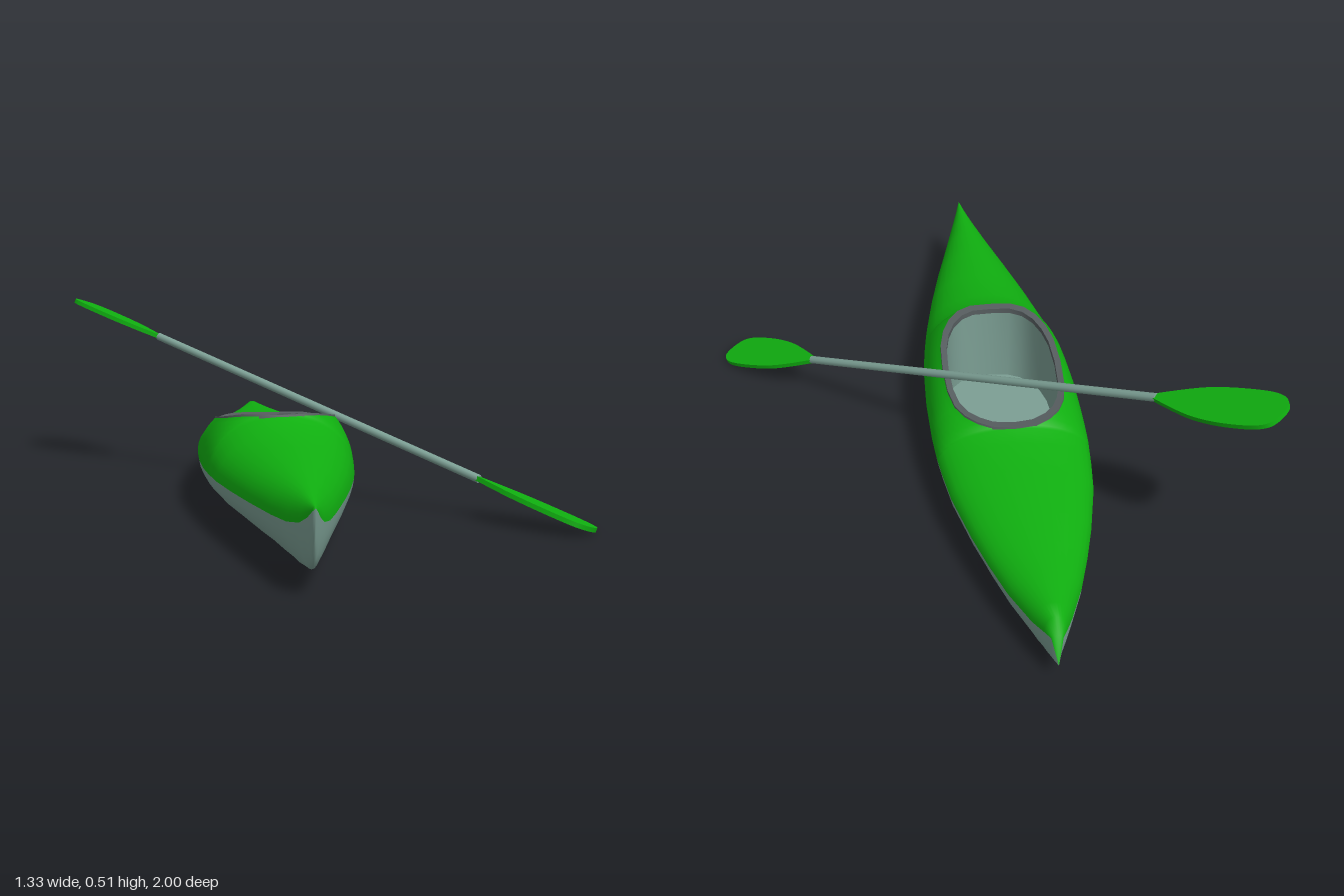
import * as THREE from 'three';
import { mergeVertices, toCreasedNormals } from 'three/addons/utils/BufferGeometryUtils.js';

const mat = (name, color) => new THREE.MeshStandardMaterial({ name, color });

// Stations from stern to bow: z, half width, keel y, seam y, deck ridge y
const STATIONS = [
  [-1, 0, 0.05, 0.05, 0.05],
  [-0.97, 0.014, 0.033, 0.105, 0.11],
  [-0.945, 0.027, 0.025, 0.103, 0.145],
  [-0.9, 0.046, 0.017, 0.093, 0.147],
  [-0.8, 0.086, 0.01, 0.09, 0.151],
  [-0.7, 0.118, 0.009, 0.093, 0.157],
  [-0.6, 0.146, 0.008, 0.097, 0.165],
  [-0.45, 0.18, 0.007, 0.103, 0.177],
  [-0.35, 0.193, 0.006, 0.106, 0.187],
  [-0.28, 0.2, 0.006, 0.108, 0.204],
  [-0.2, 0.204, 0.006, 0.11, 0.204],
  [-0.05, 0.205, 0.008, 0.114, 0.228],
  [0.1, 0.198, 0.011, 0.117, 0.25],
  [0.2, 0.188, 0.014, 0.12, 0.27],
  [0.25, 0.181, 0.016, 0.121, 0.258],
  [0.31, 0.172, 0.018, 0.122, 0.242],
  [0.45, 0.145, 0.025, 0.126, 0.231],
  [0.6, 0.111, 0.031, 0.13, 0.222],
  [0.75, 0.073, 0.037, 0.134, 0.213],
  [0.85, 0.047, 0.042, 0.14, 0.208],
  [0.92, 0.027, 0.052, 0.153, 0.204],
  [0.96, 0.014, 0.078, 0.172, 0.202],
  [0.985, 0.006, 0.13, 0.19, 0.201],
  [1, 0, 0.2, 0.2, 0.2],
];

function station(z) {
  let i = 0;
  while (i < STATIONS.length - 2 && STATIONS[i + 1][0] < z) i++;
  const a = STATIONS[i], b = STATIONS[i + 1];
  const f = (z - a[0]) / (b[0] - a[0]);
  const [w, keel, seam, top] = [1, 2, 3, 4].map(k => a[k] + (b[k] - a[k]) * f);
  return { w, keel, seam, top };
}

// Cockpit outline, a rounded oval
const CZ = -0.045, CW = 0.16, CL = 0.255, POW = 2 / 2.6, SIDES = 24;
const bend = v => Math.sign(v) * Math.abs(v) ** POW;
function outline(k) {
  const a = (k % SIDES) / SIDES * Math.PI * 2;
  const s = Math.abs(Math.sin(a)) < 1e-9 ? 0 : Math.sin(a);
  const c = Math.abs(Math.cos(a)) < 1e-9 ? 0 : Math.cos(a);
  return [CW * bend(s), CL * bend(c)];
}

// Surface through rows of points; one column can be left open
function loft(rows, skip = -1) {
  const n = rows[0].length, index = [];
  for (let i = 0; i < rows.length - 1; i++) {
    for (let j = 0; j < n - 1; j++) {
      if (j === skip) continue;
      const a = i * n + j, c = a + n;
      index.push(a, a + 1, c, a + 1, c + 1, c);
    }
  }
  let g = new THREE.BufferGeometry();
  g.setAttribute('position', new THREE.Float32BufferAttribute(rows.flat(2), 3));
  g.setIndex(index);
  g = mergeVertices(g, 1e-5);
  g.computeVertexNormals();
  return g;
}

function add(parent, name, geometry, material) {
  const mesh = new THREE.Mesh(geometry, material);
  mesh.name = name;
  parent.add(mesh);
  return mesh;
}

export function createModel() {
  const green = mat('deck green', 0x10b010);
  const grey = mat('hull grey', 0x7c9f94);
  const dark = mat('rim grey', 0x565d5f);
  const model = new THREE.Group();
  model.name = 'kayakWithPaddle';

  const boat = new THREE.Group();
  boat.name = 'kayak';
  boat.position.x = -0.1;
  model.add(boat);

  // Cross-section positions, with extra ones along the cockpit
  const cuts = STATIONS.map(s => s[0])
    .filter(z => Math.abs(z - CZ) > CL + 0.005)
    .map(z => ({ z, open: 0 }));
  for (let k = 0; k <= SIDES / 2; k++) {
    const [x, z] = outline(k);
    cuts.push({ z: CZ + z, open: x });
  }
  cuts.sort((a, b) => a.z - b.z);

  // Hull below the seam
  const N = 16;
  add(boat, 'hull', loft(cuts.map(({ z }) => {
    const { w, keel, seam } = station(z);
    return Array.from({ length: N + 1 }, (_, j) => {
      const a = Math.PI * (1 - j / N);
      return [w * Math.cos(a), seam - (seam - keel) * Math.sin(a), z];
    });
  })), grey);

  // Deck above the seam, open at the cockpit
  const M = 8;
  add(boat, 'deck', loft(cuts.map(({ z, open }) => {
    const { w, seam, top } = station(z);
    const end = open ? Math.acos(open / w) : Math.PI / 2;
    const half = Array.from({ length: M + 1 }, (_, j) => {
      const a = end * j / M;
      const x = j === M ? open : w * Math.cos(a);
      return [x, seam + (top - seam) * Math.sin(a) / Math.sin(end), z];
    });
    return [...half, ...half.map(([x, y]) => [-x, y, z]).reverse()];
  }), M), green);

  // Cockpit rim, inner wall and floor
  const ring = (scale, yOf) => Array.from({ length: SIDES + 1 }, (_, k) => {
    const [x, z] = outline(k);
    return [x * scale, yOf(station(CZ + z).top), CZ + z * scale];
  });
  const INNER = 0.9, FLOOR = 0.05;
  const rim = loft([
    ring(1.01, t => t - 0.006), ring(1, t => t + 0.004),
    ring(INNER, t => t + 0.002), ring(INNER, t => t - 0.012),
  ]);
  add(boat, 'cockpitRim', toCreasedNormals(rim, 0.7), dark);
  add(boat, 'cockpitWall', loft([ring(INNER, t => t - 0.012), ring(INNER, () => FLOOR)]), grey);
  add(boat, 'cockpitFloor', loft([ring(INNER, () => FLOOR), ring(0, () => FLOOR)]), grey);

  // Paddle, lying in a plane tilted down to the left side
  const paddle = new THREE.Group();
  paddle.name = 'paddle';
  paddle.position.set(0, 0.254, -0.13);
  paddle.rotation.z = -Math.atan(0.375);
  model.add(paddle);

  const neck = new THREE.Vector3(0.435, 0, 0.372);
  const shaft = add(paddle, 'paddleShaft',
    new THREE.CylinderGeometry(0.011, 0.011, neck.length() * 2, 10), grey);
  shaft.quaternion.setFromUnitVectors(new THREE.Vector3(0, 1, 0), neck.clone().normalize());

  // Asymmetric blade outline, used at both ends
  const shape = new THREE.Shape();
  shape.moveTo(0.43, 0.36);
  shape.splineThru([
    [0.555, 0.412], [0.655, 0.485], [0.703, 0.54], [0.698, 0.585],
    [0.64, 0.615], [0.565, 0.57], [0.49, 0.49], [0.425, 0.375],
  ].map(p => new THREE.Vector2(...p)));
  const blade = new THREE.ExtrudeGeometry(shape, { depth: 0.012, bevelEnabled: false, curveSegments: 24 });
  blade.translate(0, 0, -0.006).rotateX(Math.PI / 2);
  for (const [name, turn] of [['leftBlade', 0], ['rightBlade', Math.PI]]) {
    add(paddle, name, blade, green).rotation.y = turn;
  }
  return model;
}
